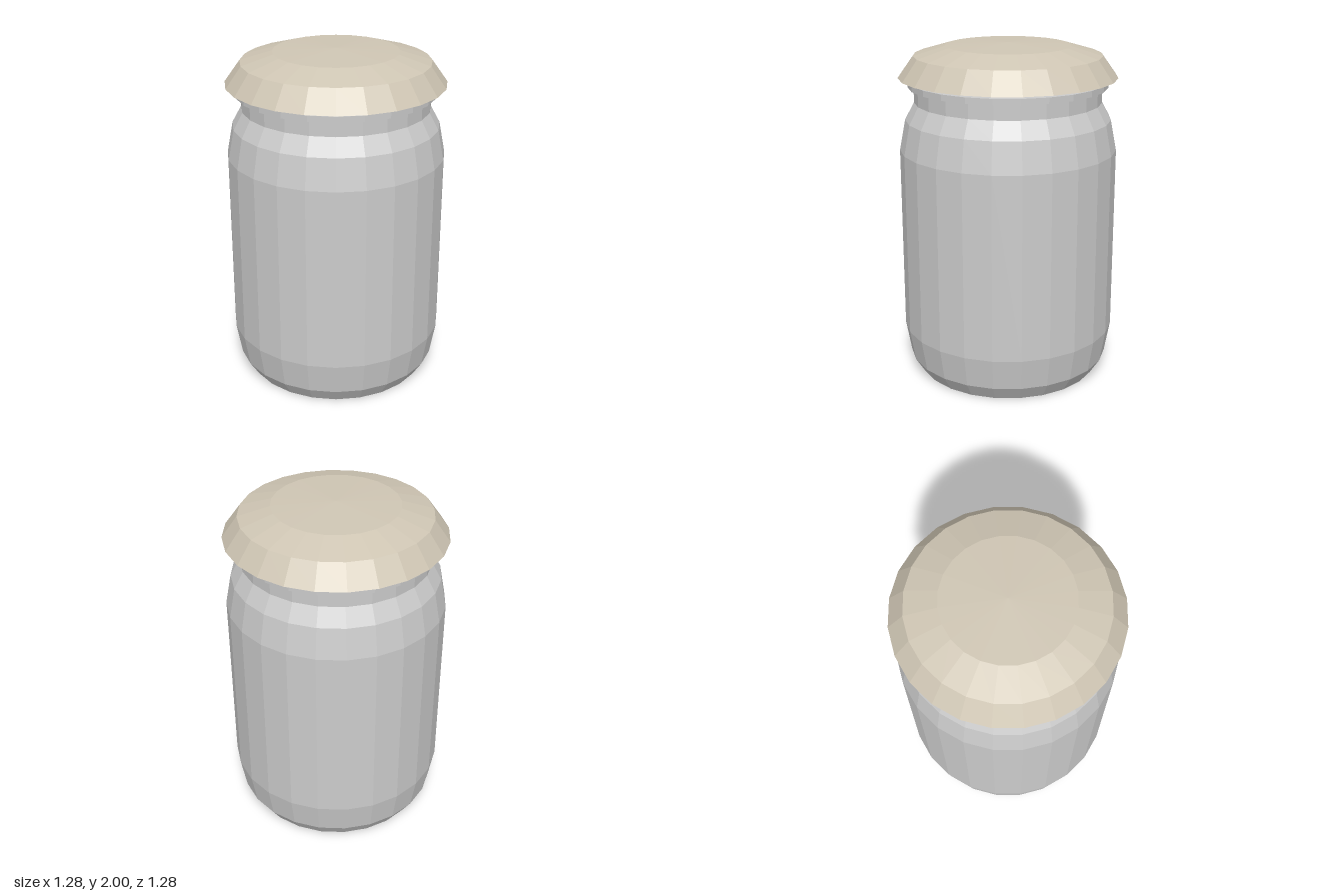
import * as THREE from 'three';

const SIDES = 24;

// Flat-shaded solid of revolution from [radius, height] points, bottom to top
function turned(name, profile, color) {
  const points = profile.map(([r, y]) => new THREE.Vector2(r, y));
  const material = new THREE.MeshStandardMaterial({ color, flatShading: true });
  const mesh = new THREE.Mesh(new THREE.LatheGeometry(points, SIDES), material);
  mesh.name = name;
  return mesh;
}

export function createModel() {
  const jar = new THREE.Group();
  jar.name = 'jar';

  // Body with bevelled base, rounded shoulder and straight neck
  jar.add(turned('body', [
    [0, 0], [0.55, 0], [0.607, 0.09], [0.64, 0.28], [0.64, 1.38],
    [0.605, 1.56], [0.55, 1.66], [0.55, 1.75],
  ], 0xcccccc));

  // Projecting lip around the mouth
  jar.add(turned('rim', [
    [0, 1.75], [0.585, 1.75], [0.585, 1.785], [0, 1.785],
  ], 0xcccccc));

  // Domed lid sitting just clear of the rim
  jar.add(turned('lid', [
    [0, 1.805], [0.64, 1.805], [0.55, 1.93], [0.365, 1.985], [0, 2],
  ], 0xcfc6b4));

  return jar;
}
